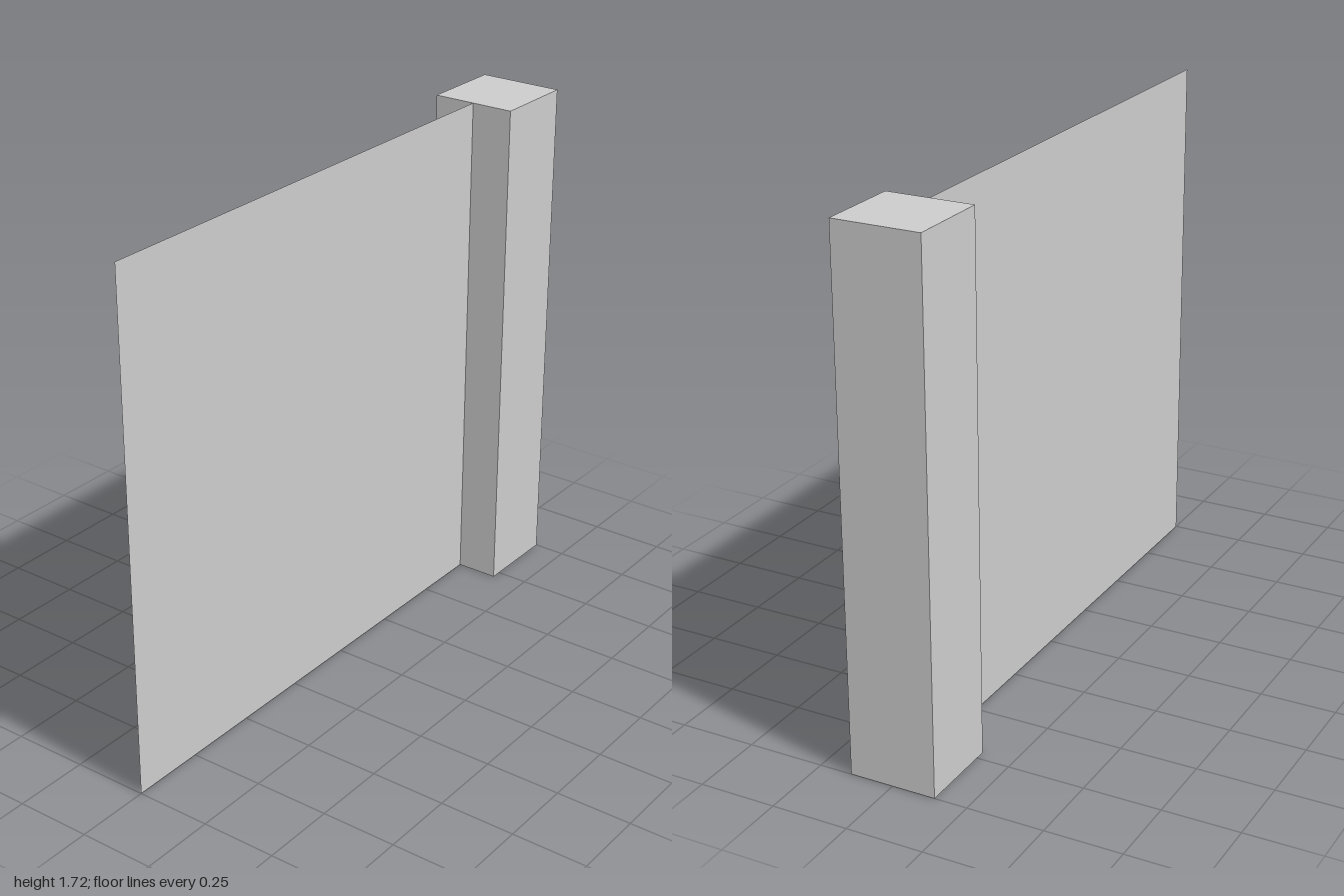
import * as THREE from 'three';

const HEIGHT = 1.715;
const POST = 0.285; // side of the square post

export function createModel() {
  const group = new THREE.Group();
  const postMaterial = new THREE.MeshStandardMaterial({ color: 0xcccccc });
  const panelMaterial = new THREE.MeshStandardMaterial({ color: 0xcccccc, side: THREE.DoubleSide });

  // Square post at the left end
  const post = new THREE.Mesh(new THREE.BoxGeometry(POST, HEIGHT, POST), postMaterial);
  post.name = 'post';
  post.position.set(1 - POST / 2, HEIGHT / 2, 0);
  group.add(post);

  // Paper-thin panel running from the post's face to the right end
  const panelWidth = 2 - POST;
  const panel = new THREE.Mesh(new THREE.PlaneGeometry(panelWidth, HEIGHT), panelMaterial);
  panel.name = 'panel';
  panel.position.set(-1 + panelWidth / 2, HEIGHT / 2, 0);
  group.add(panel);

  return group;
}
